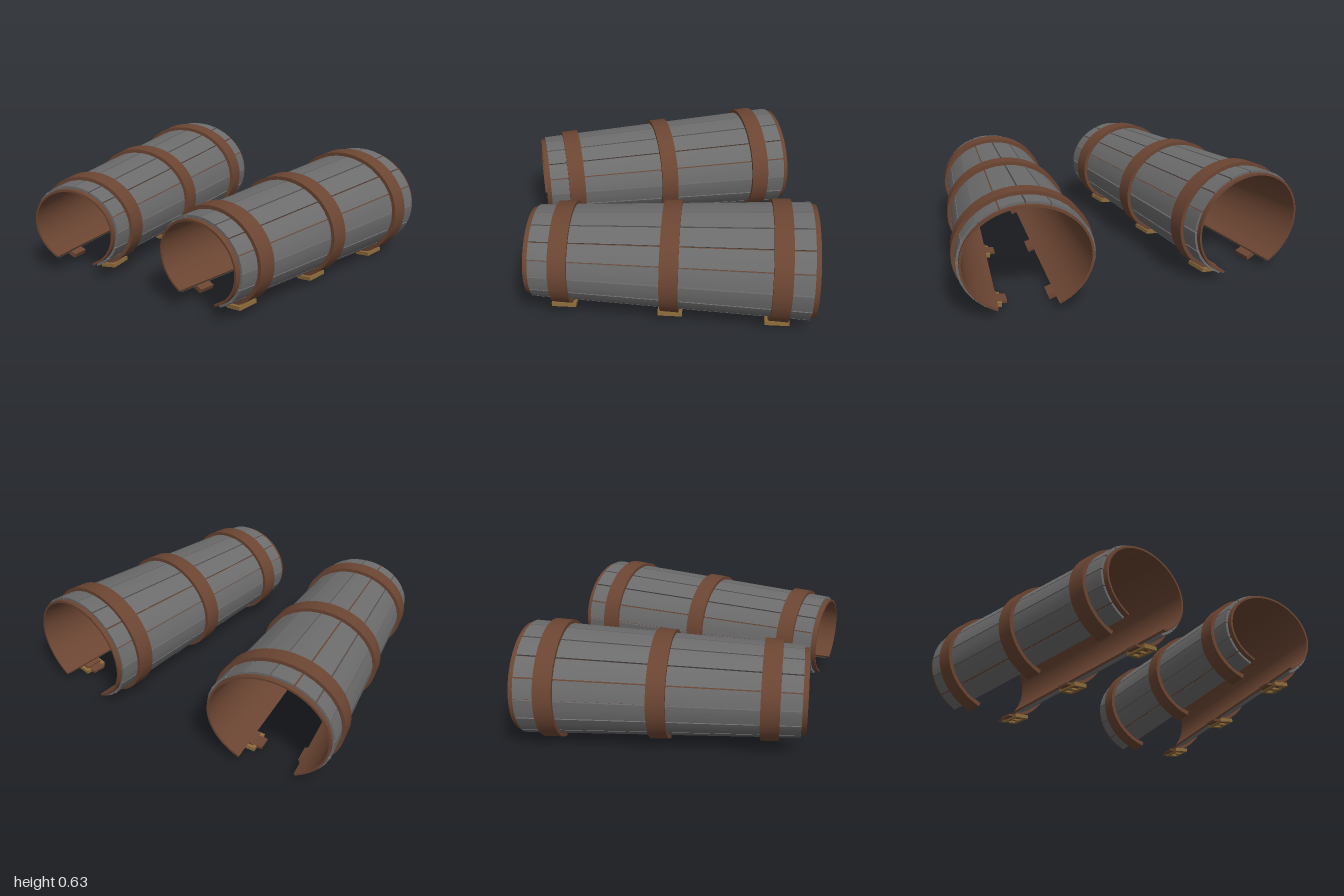
import * as THREE from 'three';
import { toCreasedNormals } from 'three/addons/utils/BufferGeometryUtils.js';

const mat = (name, color) => {
  const m = new THREE.MeshStandardMaterial({ color });
  m.name = name;
  return m;
};
const RAD = Math.PI / 180;
const HALF = 0.778; // half length of the leather sleeve
const OPEN = 152; // sleeve edge, in degrees from the top

// Point on the tapered oval sleeve: angle from the top, offset from the leather, position along it
function point(deg, off, z) {
  const t = (HALF - z) / (2 * HALF);
  const rx = 0.268 + 0.076 * t + off;
  const ry = 0.228 + 0.067 * t + off;
  return [rx * Math.sin(deg * RAD), ry * Math.cos(deg * RAD), z];
}

// Solid curved band that follows the sleeve
function band(a0, a1, z0, z1, inner, outer, segs) {
  const pos = [];
  const quad = (a, b, c, d) => pos.push(...a, ...b, ...c, ...a, ...c, ...d);
  const section = (i) => {
    const a = a0 + ((a1 - a0) * i) / segs;
    return [point(a, inner, z0), point(a, outer, z0), point(a, outer, z1), point(a, inner, z1)];
  };
  for (let i = 0; i < segs; i++) {
    const p = section(i), q = section(i + 1);
    for (let k = 0; k < 4; k++) {
      const n = (k + 1) % 4;
      quad(p[k], p[n], q[n], q[k]);
    }
  }
  const s = section(0), e = section(segs);
  quad(s[0], s[3], s[2], s[1]);
  quad(e[0], e[1], e[2], e[3]);
  const g = new THREE.BufferGeometry();
  g.setAttribute('position', new THREE.Float32BufferAttribute(pos, 3));
  return toCreasedNormals(g, 0.5);
}

// Rectangular frame lying flat, with its thickness along y
function frameGeometry(w, d, bar, thick) {
  const rect = (C, x, y) => {
    const s = new C();
    s.moveTo(-x, -y);
    s.lineTo(x, -y);
    s.lineTo(x, y);
    s.lineTo(-x, y);
    s.closePath();
    return s;
  };
  const shape = rect(THREE.Shape, w / 2, d / 2);
  shape.holes.push(rect(THREE.Path, w / 2 - bar, d / 2 - bar));
  const g = new THREE.ExtrudeGeometry(shape, { depth: thick, bevelEnabled: false });
  return g.translate(0, 0, -thick / 2).rotateX(-Math.PI / 2);
}

export function createModel() {
  const leather = mat('brown leather', 0x6b4532);
  const steel = mat('grey steel', 0x6c6c6c);
  const brass = mat('aged brass', 0x8c6a3a);

  const add = (parent, name, geometry, material) => {
    const m = new THREE.Mesh(geometry, material);
    m.name = name;
    parent.add(m);
    return m;
  };

  function bracer(name) {
    const g = new THREE.Group();
    g.name = name;
    add(g, 'leatherSleeve', band(-OPEN, OPEN, -HALF, HALF, -0.012, 0, 56), leather);

    // Lengthwise splints with narrow gaps
    const count = 14, step = (2 * OPEN) / count;
    for (let i = 0; i < count; i++) {
      const a = -OPEN + i * step;
      add(g, 'steelSplint', band(a + 0.7, a + step - 0.7, -0.75, 0.75, -0.004, 0.014, 2), steel);
    }

    // Straps, each with a loose end on one side and a buckle on the other
    for (const z of [0.588, 0, -0.588]) {
      add(g, 'strap', band(-159, 156, z - 0.05, z + 0.05, 0.009, 0.034, 48), leather);
      const buckle = new THREE.Group();
      buckle.name = 'buckle';
      const [x, y] = point(153, 0.036, z);
      buckle.position.set(x, y, z);
      buckle.rotation.z = 0.12;
      add(buckle, 'buckleFrame', frameGeometry(0.09, 0.135, 0.02, 0.022), brass);
      add(buckle, 'bucklePin', new THREE.BoxGeometry(0.085, 0.012, 0.014), brass).position.y = -0.006;
      add(buckle, 'strapTab', new THREE.BoxGeometry(0.11, 0.014, 0.08), leather).position.set(-0.02, 0.006, 0);
      g.add(buckle);
    }
    return g;
  }

  // The pair splays apart toward the back, buckles on the same side of each
  const model = new THREE.Group();
  model.name = 'pairOfBracers';
  for (const side of [1, -1]) {
    const b = bracer(side > 0 ? 'leftBracer' : 'rightBracer');
    b.position.set(0.54 * side, 0.31, 0);
    b.rotation.y = -0.137 * side;
    model.add(b);
  }
  return model;
}
